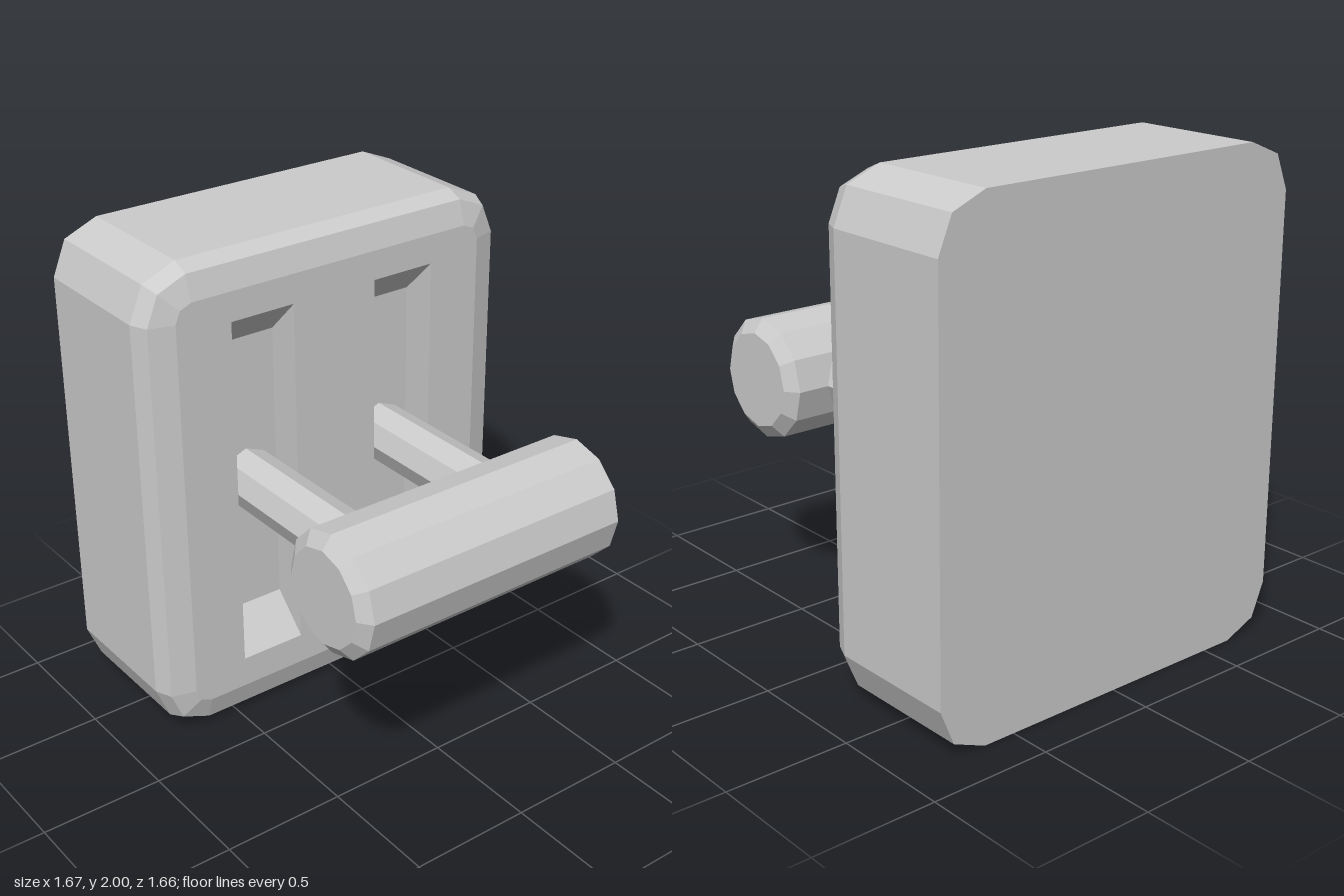
import * as THREE from 'three';
import { mergeGeometries } from 'three/addons/utils/BufferGeometryUtils.js';

const material = new THREE.MeshStandardMaterial({ color: 0xcccccc, flatShading: true });
const FRONT = -0.17, BACK = -0.83, FLOOR = -0.32;
const CENTRE_Y = 1.0;

// Outline of the case with three-point corners, pulled in by inset
function caseOutline(inset) {
  const r = 0.2 - inset, points = [];
  [[1, 1], [-1, 1], [-1, -1], [1, -1]].forEach(([sx, sy], corner) => {
    for (let k = 0; k < 3; k++) {
      const a = (corner + k / 2) * Math.PI / 2;
      points.push(new THREE.Vector2(sx * 0.635 + r * Math.cos(a), CENTRE_Y + sy * 0.8 + r * Math.sin(a)));
    }
  });
  return points;
}

function rectangle(x0, x1, y0, y1) {
  return [[x0, y0], [x1, y0], [x1, y1], [x0, y1]].map(([x, y]) => new THREE.Vector2(x, y));
}

// Walls joining outlines, each given as { points, z }
function walls(rings) {
  const positions = [];
  for (let r = 0; r < rings.length - 1; r++) {
    const a = rings[r], b = rings[r + 1], n = a.points.length;
    for (let i = 0; i < n; i++) {
      const j = (i + 1) % n;
      for (const [ring, k] of [[a, i], [a, j], [b, j], [a, i], [b, j], [b, i]]) {
        positions.push(ring.points[k].x, ring.points[k].y, ring.z);
      }
    }
  }
  const geometry = new THREE.BufferGeometry();
  geometry.setAttribute('position', new THREE.Float32BufferAttribute(positions, 3));
  return geometry;
}

// Flat face looking to +z, with optional holes
function face(points, z, holes = []) {
  const shape = new THREE.Shape(points);
  shape.holes = holes.map((h) => new THREE.Path(h));
  const geometry = new THREE.ShapeGeometry(shape).toNonIndexed();
  geometry.deleteAttribute('uv');
  geometry.deleteAttribute('normal');
  return geometry.translate(0, 0, z);
}

function addMesh(parent, name, geometry) {
  const mesh = new THREE.Mesh(geometry, material);
  mesh.name = name;
  parent.add(mesh);
  return mesh;
}

function merged(parts) {
  const geometry = mergeGeometries(parts);
  geometry.computeVertexNormals();
  return geometry;
}

export function createModel() {
  const group = new THREE.Group();
  group.name = 'leverSwitch';

  // Case with a two-step bevel round the front and two openings
  const openings = [-0.33, 0.33].map((x) => rectangle(x - 0.14, x + 0.14, 0.26, 1.75));
  const rings = [[0, BACK], [0, -0.27], [0.03, -0.2], [0.13, FRONT]]
    .map(([inset, z]) => ({ points: caseOutline(inset), z }));
  addMesh(group, 'case', merged([
    walls(rings),
    face(caseOutline(0.13), FRONT, openings),
    face(caseOutline(0), -BACK).rotateY(Math.PI),
  ]));

  [-1, 1].forEach((side, i) => {
    const label = side > 0 ? 'left' : 'right';
    const x = side * 0.33;

    // Recessed slot with sloping ends
    const floor = rectangle(x - 0.14, x + 0.14, 0.41, 1.6);
    addMesh(group, label + 'Slot', merged([
      walls([{ points: openings[i], z: FRONT }, { points: floor, z: FLOOR }]),
      face(floor, FLOOR),
    ]));

    // Eight-sided arm from the slot floor into the handle
    const arm = addMesh(group, label + 'Arm', new THREE.CylinderGeometry(0.118, 0.118, 0.74, 8));
    arm.rotation.x = Math.PI / 2;
    arm.position.set(x, 1.003, 0.05);
  });

  // Twelve-sided handle with chamfered ends
  const profile = [[0, -0.62], [0.193, -0.62], [0.247, -0.58], [0.247, 0.58], [0.193, 0.62], [0, 0.62]]
    .map(([r, y]) => new THREE.Vector2(r, y));
  const handle = addMesh(group, 'handle', new THREE.LatheGeometry(profile, 12));
  handle.rotation.z = Math.PI / 2;
  handle.position.set(0, 1.003, 0.586);

  return group;
}
